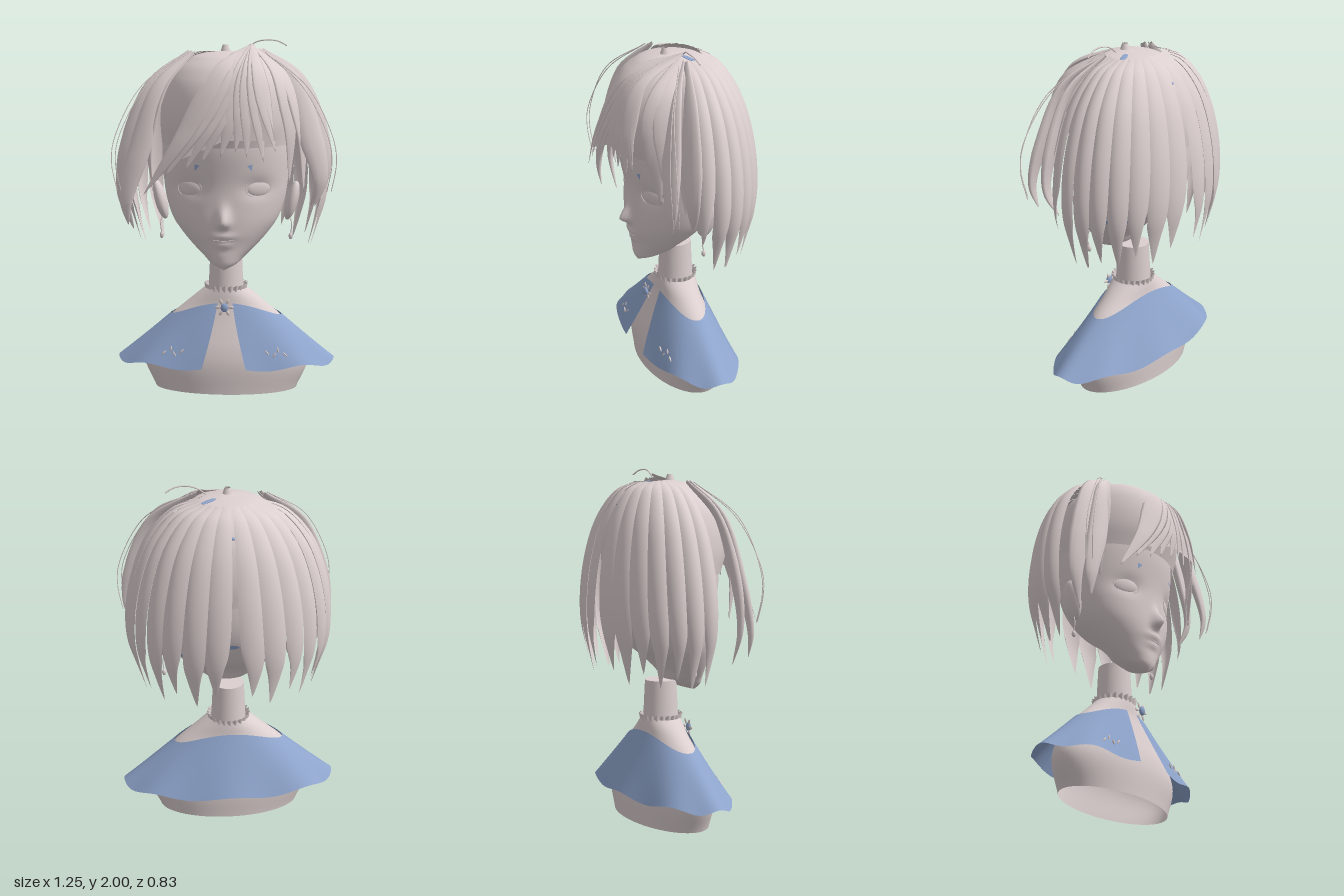
import * as THREE from 'three';
import { mergeVertices } from 'three/addons/utils/BufferGeometryUtils.js';

const V = (x, y, z) => new THREE.Vector3(x, y, z);
const { sin, cos, PI, abs, min, exp } = Math;
const lerp = THREE.MathUtils.lerp;

export function createModel() {
  const model = new THREE.Group();
  model.name = 'bust';
  const pale = new THREE.MeshStandardMaterial({ name: 'pale pink', color: 0xdccfcf, side: THREE.DoubleSide });
  const blue = new THREE.MeshStandardMaterial({ name: 'soft blue', color: 0x8ea4cb, side: THREE.DoubleSide });

  const add = (name, geometry, material = pale, position = [0, 0, 0]) => {
    const mesh = new THREE.Mesh(geometry, material);
    mesh.name = name;
    mesh.position.set(...position);
    model.add(mesh);
    return mesh;
  };

  // Smooth surface from a rule p(u, v)
  const grid = (nu, nv, rule) => {
    const pos = [], index = [];
    for (let j = 0; j <= nv; j++) for (let i = 0; i <= nu; i++) pos.push(...rule(i / nu, j / nv).toArray());
    for (let j = 0; j < nv; j++) for (let i = 0; i < nu; i++) {
      const a = j * (nu + 1) + i, d = a + nu + 1;
      index.push(a, a + 1, d + 1, a, d + 1, d);
    }
    let g = new THREE.BufferGeometry();
    g.setAttribute('position', new THREE.Float32BufferAttribute(pos, 3));
    g.setIndex(index);
    g = mergeVertices(g, 1e-5);
    g.computeVertexNormals();
    return g;
  };
  const spline = rows => {
    const n = rows[0].length - 1;
    const s = new THREE.CubicInterpolant(new Float32Array(rows.map(r => r[0])),
      new Float32Array(rows.flatMap(r => r.slice(1))), n, new Float32Array(n));
    return t => [...s.evaluate(t)];
  };
  const through = pts => new THREE.CatmullRomCurve3(pts.map(p => V(...p)));
  const tube = (name, pts, r) => add(name, new THREE.TubeGeometry(through(pts), 28, r, 6));

  // Cross-section rows: y, half width, front z, widest z, back z
  const skull = rows => {
    const f = spline(rows);
    return (a, y) => {
      const [w, zf, zm, zb] = f(y), c = cos(a);
      return V(w * sin(a), y, zm + (c > 0 ? zf - zm : zm - zb) * c);
    };
  };

  // Head with nose, eye sockets and lips
  const headBase = skull([
    [0.728, 0, 0.235, 0.225, 0.215], [0.76, 0.068, 0.255, 0.19, 0.11], [0.8, 0.118, 0.262, 0.13, 0.04],
    [0.86, 0.182, 0.265, 0.1, 0.0], [0.93, 0.247, 0.28, 0.06, -0.07], [1.0, 0.296, 0.285, 0.04, -0.16],
    [1.1, 0.333, 0.285, 0.02, -0.24], [1.2, 0.35, 0.288, 0.01, -0.29], [1.42, 0.36, 0.315, 0, -0.32],
    [1.65, 0.33, 0.3, 0, -0.29], [1.85, 0.18, 0.18, 0, -0.16], [1.9, 0, 0, 0, 0]]);
  const headPoint = (a, y) => {
    const p = headBase(a, y);
    if (cos(a) > 0) {
      const x = p.x, dy = y - 1.005, bump = (cx, cy, sx, sy) => exp(-(((x - cx) / sx) ** 2) - ((y - cy) / sy) ** 2);
      p.z += 0.06 * exp(-((x / 0.032) ** 2) - (dy / (dy > 0 ? 0.07 : 0.03)) ** 2);
      p.z += 0.014 * bump(0, 0.925, 0.06, 0.018) + 0.012 * bump(0, 0.875, 0.05, 0.018);
      p.z -= 0.022 * (bump(0.19, 1.19, 0.08, 0.055) + bump(-0.19, 1.19, 0.08, 0.055));
    }
    return p;
  };
  const onFace = (x, y, lift = 0) => {
    let a = 0;
    for (let k = 0; k < 30; k++) a += (x - headPoint(a, y).x) * 2;
    const p = headPoint(a, y);
    return [p.x, p.y, p.z + lift];
  };
  add('head', grid(144, 90, (u, v) => headPoint(u * 2 * PI, lerp(0.728, 1.9, v))));

  // Blue patches on the nape and crown
  for (const [a, span, y, h] of [[PI - 0.85, 1.1, 1.03, 0.035], [PI, 0.2, 1.17, 0.03]])
    add('napePatch', grid(20, 4, (u, v) =>
      headPoint(a + (u - 0.5) * span, y + h * (v - 0.5) * sin(PI * lerp(0.1, 0.9, u))).multiply(V(1.015, 1, 1.015))), blue);
  const crownPatch = add('crownPatch', new THREE.SphereGeometry(1, 16, 8), blue, [0.11, 1.927, -0.03]);
  crownPatch.scale.set(0.05, 0.004, 0.017);
  crownPatch.rotation.set(0, 0.45, -0.15);
  add('partingPatch', new THREE.SphereGeometry(1, 12, 8), blue, [0, 1.805, -0.272]).scale.set(0.012, 0.008, 0.012);

  // Scalp cap and crown nub
  const capPoint = skull([
    [1.42, 0.362, 0.33, 0, -0.32], [1.55, 0.37, 0.37, 0, -0.33], [1.7, 0.352, 0.362, 0, -0.31],
    [1.8, 0.31, 0.32, 0.01, -0.27], [1.88, 0.225, 0.245, 0.03, -0.19], [1.925, 0.12, 0.15, 0.04, -0.08],
    [1.94, 0, 0.06, 0.06, 0.06]]);
  add('scalpCap', grid(64, 32, (u, v) => capPoint(u * 2 * PI, lerp(1.42, 1.94, 1 - (1 - v) ** 2))));
  add('crownNub', new THREE.CylinderGeometry(0.016, 0.032, 0.05, 16, 1, true), pale, [0, 1.945, 0.06]);

  // Eyes, brows, ears and earrings
  for (const s of [1, -1]) {
    const [ex, ey, ez] = onFace(0.19 * s, 1.19);
    const eye = add('eye', new THREE.SphereGeometry(1, 32, 16), pale, [ex, ey, ez - 0.006]);
    eye.scale.set(0.076, 0.05, 0.02);
    eye.rotation.y = 0.5 * s;
    const rim = add('eyeRim', new THREE.TorusGeometry(1, 0.03, 6, 40), pale, [ex, ey, ez + 0.005]);
    rim.scale.set(0.077, 0.052, 0.077);
    rim.rotation.y = 0.5 * s;

    const brow = new THREE.Shape([[-0.017, 0.012], [0.014, 0.018], [0.012, -0.018]].map(([x, y]) => new THREE.Vector2(x * s, y)));
    add('brow', new THREE.ShapeGeometry(brow), blue, onFace(0.145 * s, 1.31, 0.01)).rotation.y = 0.35 * s;

    const ear = add('ear', new THREE.SphereGeometry(1, 20, 16), pale, [0.375 * s, 1.09, -0.01]);
    ear.scale.set(0.035, 0.115, 0.055);
    ear.rotation.z = -0.25 * s;
    tube('earringChain', [[0.37 * s, 0.99, 0], [0.375 * s, 0.95, 0.01], [0.37 * s, 0.9, 0]], 0.003);
    add('earringDrop', new THREE.SphereGeometry(0.012, 12, 10), pale, [0.37 * s, 0.885, 0]).scale.y = 1.6;
  }
  tube('mouthLine', [-0.055, -0.025, 0, 0.025, 0.055].map(x => onFace(x, 0.9 + abs(x) * 0.08, 0.001)), 0.003);

  // Back hair: overlapping pointed panels over a rounded envelope, reaching further forward on the left
  const envelope = spline([[0, 0.3, 1.93], [0.15, 0.55, 1.875], [0.32, 0.79, 1.72], [0.5, 0.94, 1.5],
    [0.68, 1, 1.26], [0.8, 0.98, 1.1], [0.9, 0.91, 0.97], [1, 0.83, 0.83]]);
  const lengths = [0.95, 1, 0.95, 1, 0.97, 1.02, 1, 0.86, 0.72];
  for (const s of [1, -1]) lengths.slice(0, s > 0 ? 9 : 7).forEach((len, k) => {
    const p0 = 0.02 + k * 0.235, p1 = p0 + 0.26;
    add('backHairPanel', grid(12, 32, (u, v) => {
      const tooth = abs(2 * u - 1) ** 1.2;
      const [r, y] = envelope(v * len - 0.17 * tooth * v ** 5);
      const phi = lerp(p0, p1, 0.5 + (u - 0.5) * (1 - 0.25 * v ** 6)) + 0.05 * v ** 3;
      const R = r * (1.01 + 0.035 * (1 - (2 * u - 1) ** 2)) - 0.02 * u;
      return V(s * sin(phi) * R * 0.56, y, -0.02 - cos(phi) * R * 0.385);
    }));
  });

  // Tapered lock of hair with a lens section, its flat side turned away from a centre
  const lock = (name, pts, w, thick = 0.014, centre = V(0, 1.4, 0)) => {
    const curve = through(pts);
    add(name, grid(10, 28, (u, v) => {
      const p = curve.getPoint(v), T = curve.getTangent(v), N = p.clone().sub(centre);
      N.addScaledVector(T, -N.dot(T)).normalize();
      const B = T.clone().cross(N), k = min(1, 0.22 + 1.7 * v) * min(1, (1 - v) * 2.3) ** 0.85;
      return p.addScaledVector(B, cos(u * 2 * PI) * w * k).addScaledVector(N, -sin(u * 2 * PI) * thick * k);
    }));
  };

  // Swept fringe: locks fanning out from the parting over a continuous sheet
  const fringePath = (x, y, inset = 0) => {
    const a = lerp(0.15, x, 0.28), b = lerp(0.15, x, 0.62);
    return [[0.15, 1.97 - inset, 0.03], [a, 1.84, 0.29 - inset], [b, lerp(1.84, y, 0.52), 0.39 - 0.25 * b * b - inset],
      [x, y, 0.405 - 0.25 * x * x - inset]];
  };
  for (const [x, y, w] of [[-0.43, 1.17, 0.065], [-0.31, 1.27, 0.07], [-0.2, 1.31, 0.065], [-0.11, 1.35, 0.06], [-0.01, 1.38, 0.06],
    [0.07, 1.41, 0.055], [0.13, 1.38, 0.055], [0.22, 1.36, 0.055], [0.285, 1.41, 0.05]]) lock('fringeLock', fringePath(x, y), w, 0.01);
  add('fringeSheet', grid(20, 20, (u, v) =>
    through(fringePath(lerp(-0.33, 0.29, u), lerp(1.32, 1.47, min(1, u * 1.8)), 0.002)).getPoint(1 - v)));

  // Side locks hugging the head
  for (const [w, ...pts] of [
    [0.07, [0.17, 1.95, 0.06], [0.3, 1.8, 0.24], [0.36, 1.55, 0.29], [0.36, 1.22, 0.25]],
    [0.07, [0.17, 1.95, 0.05], [0.33, 1.8, 0.2], [0.42, 1.52, 0.24], [0.44, 1.17, 0.22]],
    [0.05, [-0.17, 1.93, 0.08], [-0.33, 1.74, 0.17], [-0.41, 1.45, 0.21], [-0.4, 1.17, 0.2]]]) lock('sideLock', pts, w);
  // Broad outer locks facing forward
  for (const [w, ...pts] of [
    [0.07, [0.18, 1.94, 0.04], [0.37, 1.79, 0.17], [0.47, 1.5, 0.24], [0.53, 1.25, 0.27], [0.5, 1.1, 0.26]],
    [0.075, [0.2, 1.94, 0.03], [0.4, 1.78, 0.1], [0.5, 1.5, 0.14], [0.54, 1.25, 0.15], [0.48, 1.08, 0.12]],
    [0.07, [-0.2, 1.93, 0.05], [-0.4, 1.75, 0.12], [-0.51, 1.45, 0.16], [-0.565, 1.15, 0.165], [-0.51, 0.94, 0.15]],
    [0.065, [-0.18, 1.93, 0.08], [-0.36, 1.74, 0.18], [-0.46, 1.42, 0.23], [-0.54, 1.12, 0.25], [-0.53, 0.98, 0.24]]])
    lock('outerLock', pts, w, 0.026, V(0, 1.4, -1.2));

  // Loose strands and crown curl
  for (const s of [1, -1]) for (const d of [0, 0.025])
    tube('looseStrand', [[0.22 * s, 1.93, 0.08], [(0.46 - d) * s, 1.74, 0.22], [(0.6 - d) * s, 1.46, 0.27 + d],
      [(0.615 - d) * s, 1.33, 0.27 + d], [(0.59 - d) * s, 1.18, 0.25 + d]], 0.0025);
  tube('crownCurl', [[0.12, 1.95, 0.02], [0.17, 1.985, 0.02], [0.23, 1.996, 0.03], [0.29, 1.99, 0.025], [0.34, 1.965, 0.015]], 0.004);

  // Neck, frilled collar and hollow torso
  add('neck', new THREE.CylinderGeometry(0.09, 0.102, 0.25, 32), pale, [0, 0.68, 0]);
  add('collarFrill', grid(160, 4, (u, v) => {
    const a = u * 2 * PI, r = 0.112 + 0.007 * cos(22 * a) + 0.008 * v;
    return V(r * sin(a), 0.575 + v * (0.033 + 0.004 * cos(22 * a)), r * cos(a));
  }));
  const torso = spline([[0, 0.41, 0.205], [0.17, 0.475, 0.21], [0.26, 0.445, 0.195], [0.34, 0.385, 0.17],
    [0.43, 0.308, 0.14], [0.5, 0.225, 0.12], [0.55, 0.165, 0.115], [0.585, 0.122, 0.11]]);
  add('torso', grid(64, 32, (u, v) => {
    const y = v * 0.585, [a, b] = torso(y);
    return V(a * sin(u * 2 * PI), y, b * cos(u * 2 * PI));
  }));

  // Open-fronted cape with a rippled hem
  const capePoint = (a, t, lift = 0) => {
    const ripple = t * t * cos(a * 8);
    const top = 0.43 + 0.085 * abs(cos(a)) ** 2.6;
    return V((lerp(0.32, 0.625, t) + lift) * sin(a), lerp(top, 0.165, t) + 0.013 * ripple,
      (lerp(0.12, 0.272, t) + 0.006 * ripple + lift) * cos(a));
  };
  add('cape', grid(120, 16, (u, v) => {
    const gap = lerp(0.2, 0.13, v);
    return capePoint(lerp(gap, 2 * PI - gap, u), 1 - v);
  }), blue);

  // Small sprigs on the cape
  for (const s of [1, -1]) for (const [a, t, tilt] of [[0.46, 0.72, 0.7], [0.53, 0.77, -0.5], [0.6, 0.7, 0.2], [0.66, 0.78, 0.8]]) {
    const petal = add('capeSprig', new THREE.SphereGeometry(1, 10, 8), pale, capePoint(a * s, t, 0.004).toArray());
    petal.scale.set(0.005, 0.018, 0.005);
    petal.rotation.z = tilt * s;
  }

  // Brooch
  add('broochStone', new THREE.SphereGeometry(1, 20, 16), blue, [0, 0.505, 0.19]).scale.set(0.021, 0.026, 0.013);
  for (let k = 0; k < 6; k++) {
    const a = (k + 0.5) * PI / 3;
    const petal = add('broochPetal', new THREE.SphereGeometry(1, 12, 8), pale, [0.036 * sin(a), 0.505 + 0.036 * cos(a), 0.182]);
    petal.scale.set(0.009, 0.018, 0.004);
    petal.rotation.z = -a;
  }
  return model;
}
